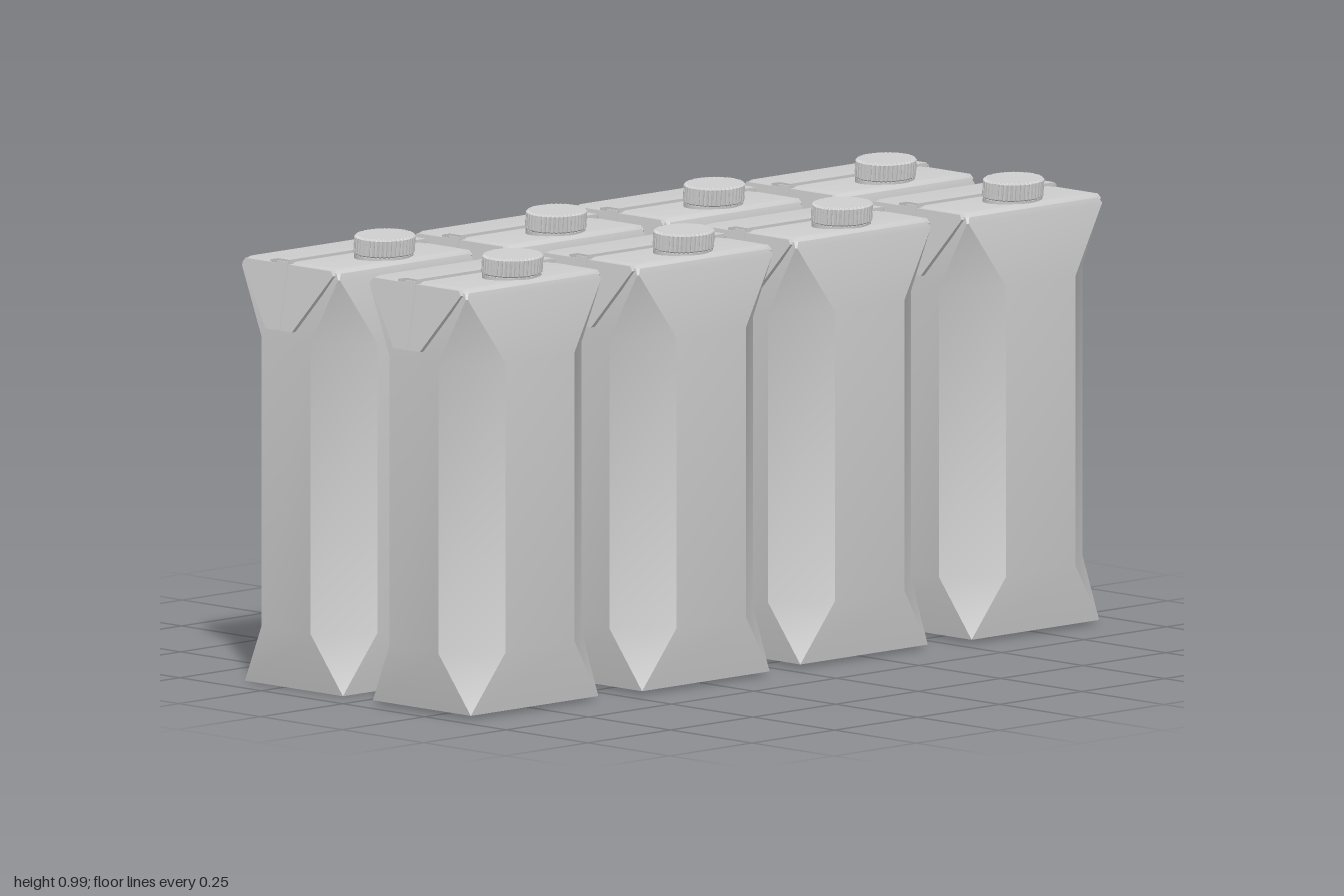
import * as THREE from 'three';
import { toCreasedNormals } from 'three/addons/utils/BufferGeometryUtils.js';

const material = new THREE.MeshStandardMaterial({ color: 0xcccccc, side: THREE.DoubleSide });

function mesh(name, geometry) {
  const m = new THREE.Mesh(geometry, material);
  m.name = name;
  return m;
}

// Eight-point section: flat faces of half width fx (front) and fz (side), joined by bevels
function ring([y, hx, hz, fx, fz]) {
  return [
    [fx, hz], [hx, fz], [hx, -fz], [fx, -hz],
    [-fx, -hz], [-hx, -fz], [-hx, fz], [-fx, hz],
  ].map(([x, z]) => new THREE.Vector3(x, y, z));
}

// Skin the sections, close both ends and leave out collapsed triangles
function loft(sections) {
  const rings = sections.map(ring);
  const points = [];
  const tri = (a, b, c) => {
    if (new THREE.Triangle(a, b, c).getArea() > 1e-8) points.push(a, b, c);
  };
  const last = rings.length - 1;
  const bottom = new THREE.Vector3(0, sections[0][0], 0);
  const top = new THREE.Vector3(0, sections[last][0], 0);
  for (let i = 0; i < 8; i++) {
    const j = (i + 1) % 8;
    for (let k = 0; k < last; k++) {
      const [lo, hi] = [rings[k], rings[k + 1]];
      tri(lo[i], lo[j], hi[j]);
      tri(lo[i], hi[j], hi[i]);
    }
    tri(bottom, rings[0][j], rings[0][i]);
    tri(top, rings[last][i], rings[last][j]);
  }
  return toCreasedNormals(new THREE.BufferGeometry().setFromPoints(points), 0.6);
}

// Rectangular ends, bevelled octagonal middle, softened top edge
const bodyGeometry = loft([
  [0, 0.193, 0.15, 0.193, 0.15],
  [0.13, 0.217, 0.167, 0.105, 0.075],
  [0.762, 0.217, 0.167, 0.105, 0.075],
  [0.908, 0.205, 0.15, 0.202, 0.147],
  [0.921, 0.202, 0.146, 0.196, 0.14],
  [0.928, 0.194, 0.137, 0.188, 0.131],
  [0.93, 0.186, 0.128, 0.18, 0.122],
]);

// Panel drawn in (z, y), hanging outward from the top edge on the +x side
function earPanel(outline, offset, depth) {
  const shape = new THREE.Shape(outline.map(([z, y]) => new THREE.Vector2(-z, y)));
  const g = new THREE.ExtrudeGeometry(shape, { depth, bevelEnabled: false });
  g.rotateY(Math.PI / 2);
  const p = g.attributes.position;
  for (let i = 0; i < p.count; i++) {
    const drop = 0.928 - p.getY(i);
    p.setX(i, p.getX(i) + 0.198 + offset + drop * 0.18);
  }
  g.computeVertexNormals();
  return g;
}
const earGeometry = earPanel([
  [0.138, 0.916], [0.13, 0.926], [-0.132, 0.926], [-0.14, 0.916],
  [-0.045, 0.785], [0.036, 0.785],
], 0, 0.011);
const earSeamGeometry = earPanel([
  [0, 0.932], [-0.032, 0.932], [-0.032, 0.787], [0, 0.787],
], 0.011, 0.003);

// Folded seam across the top, thinning towards the back
const seamShape = new THREE.Shape([
  [0, 0.925], [0, 0.936], [0.034, 0.936], [0.058, 0.931], [0.058, 0.925],
].map(([z, y]) => new THREE.Vector2(z, y)));
const seamGeometry = new THREE.ExtrudeGeometry(seamShape, { depth: 0.414, bevelEnabled: false });
seamGeometry.rotateY(Math.PI / 2).translate(-0.207, 0, 0);

// Oval ribbed cap
const teeth = 40;
const rib = new THREE.Shape();
for (let i = 0; i < teeth * 4; i++) {
  const a = (i / (teeth * 4)) * Math.PI * 2;
  const r = i % 4 < 2 ? 1 : 0.95;
  const x = 0.073 * r * Math.cos(a), y = 0.054 * r * Math.sin(a);
  i ? rib.lineTo(x, y) : rib.moveTo(x, y);
}
const capGeometry = new THREE.ExtrudeGeometry(rib, {
  depth: 0.034, bevelThickness: 0.004, bevelSize: 0.004, bevelOffset: -0.002, bevelSegments: 1,
});
capGeometry.rotateX(-Math.PI / 2).translate(0, 0.011, 0);
const collarGeometry = new THREE.CylinderGeometry(1, 1, 0.012, 48);
collarGeometry.scale(0.073, 1, 0.054).translate(0, 0.002, 0);

function carton() {
  const group = new THREE.Group();
  group.name = 'carton';
  group.add(mesh('body', bodyGeometry), mesh('topSeam', seamGeometry));

  // Folded ears, mirrored by a half turn with the seam kept at the back
  for (const side of [1, -1]) {
    const ear = new THREE.Group();
    ear.name = side > 0 ? 'leftEar' : 'rightEar';
    ear.add(mesh('earFlap', earGeometry), mesh('earSeam', earSeamGeometry));
    ear.scale.x = side;
    group.add(ear);
  }

  // Cap leaning slightly forward
  const cap = new THREE.Group();
  cap.name = 'cap';
  cap.add(mesh('ribbedCap', capGeometry), mesh('capCollar', collarGeometry));
  cap.position.set(0, 0.93, 0.08);
  cap.rotation.x = 0.08;
  group.add(cap);
  return group;
}

export function createModel() {
  const model = new THREE.Group();
  model.name = 'cartonPack';
  // Two rows of four, each row slightly staggered
  const rows = [
    { name: 'frontCarton', x: -0.763, y: 0.008, z: [0.197, 0.217] },
    { name: 'backCarton', x: -0.735, y: 0, z: [-0.223, -0.202] },
  ];
  for (const row of rows) {
    for (let i = 0; i < 4; i++) {
      const c = carton();
      c.name = row.name + (i + 1);
      c.position.set(row.x + i * 0.499, row.y, row.z[i % 2]);
      model.add(c);
    }
  }
  return model;
}
